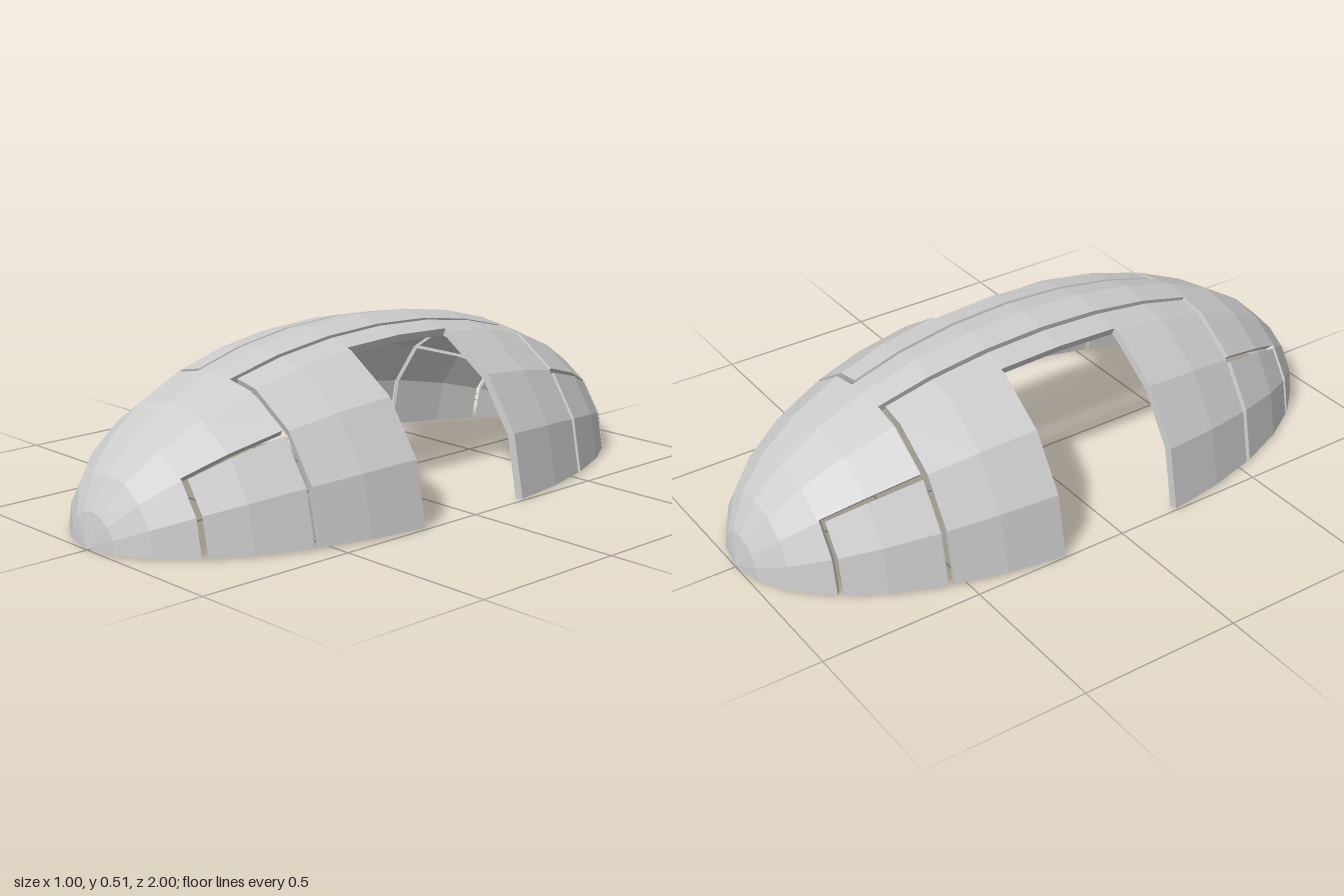
import * as THREE from 'three';

// Facet grid: u runs across the shell (-4..4, 22.5 degrees each), v runs front pole to back pole (0..16)
const R = 0.51, LIFT = 0.005, THICK = 0.025;

// A corner of the facet grid, on the outer skin or pushed inwards along the normal
function gridPoint(i, j, inner) {
  const a = i * Math.PI / 8, b = j * Math.PI / 16;
  const p = new THREE.Vector3(R * Math.sin(a) * Math.sin(b), R * Math.cos(a) * Math.sin(b) + LIFT, Math.cos(b));
  if (!inner) return p;
  const an = THREE.MathUtils.clamp(i, -3.5, 3.5) * Math.PI / 8; // rim follows its outermost facet
  const n = new THREE.Vector3(Math.sin(an) * Math.sin(b) / R, Math.cos(an) * Math.sin(b) / R, Math.cos(b)).normalize();
  return p.addScaledVector(n, -THICK);
}

// Any point on the faceted skin
function skinPoint(u, v, inner) {
  const i = Math.min(Math.floor(u), 3), j = Math.min(Math.floor(v), 15);
  const row = k => gridPoint(i, k, inner).lerp(gridPoint(i + 1, k, inner), u - i);
  return row(j).lerp(row(j + 1), v - j);
}

// Cut lines, mirrored about both middle planes
const halfU = [0, 0.44, 0.52, 0.92, 1, 1.95, 2, 2.05, 3, 4];
const halfV = [0, 1, 2, 3, 3.02, 3.13, 4, 5, 5.02, 5.11, 6, 6.96, 7, 8];
const cutsU = [...halfU.slice(1).reverse().map(u => -u), ...halfU];
const cutsV = [...halfV, ...halfV.slice(0, -1).reverse().map(v => 16 - v)];

// Which panel a cell belongs to; null is a gap or opening
function panelAt(u, v) {
  const s = Math.abs(u), w = Math.min(v, 16 - v);
  const side = u > 0 ? 'left' : 'right', end = v < 8 ? 'Front' : 'Back';
  if (w > 5.02) {
    if (s < 0.44) return 'centreBody';
    if (s < 0.52 || w < 5.11) return null;
    return w < 6.96 || s < 0.92 ? side + 'SidePanel' : null;
  }
  if (s < 1.95 || w < 3.02) return 'centreBody';
  return s < 2.05 || w < 3.13 ? null : side + end + 'CornerPanel';
}

function cellPanel(i, j) {
  if (i < 0 || j < 0 || i >= cutsU.length - 1 || j >= cutsV.length - 1) return null;
  return panelAt((cutsU[i] + cutsU[i + 1]) / 2, (cutsV[j] + cutsV[j + 1]) / 2);
}

function addTriangle(out, a, b, c) {
  const area = b.clone().sub(a).cross(c.clone().sub(a)).length();
  if (area > 1e-9) for (const p of [a, b, c]) out.push(p.x, p.y, p.z);
}

function addQuad(out, a, b, c, d) {
  addTriangle(out, a, b, c);
  addTriangle(out, a, c, d);
}

export function createModel() {
  const group = new THREE.Group();
  group.name = 'splitShell';
  const material = new THREE.MeshStandardMaterial({ color: 0xcccccc, flatShading: true });
  const panels = {};

  for (let i = 0; i < cutsU.length - 1; i++) {
    for (let j = 0; j < cutsV.length - 1; j++) {
      const name = cellPanel(i, j);
      if (!name) continue;
      const out = (panels[name] ??= []);
      const corners = [[i, j], [i + 1, j], [i + 1, j + 1], [i, j + 1]];
      const [o, n] = [false, true].map(inner => corners.map(([a, b]) => skinPoint(cutsU[a], cutsV[b], inner)));
      addQuad(out, ...o);
      addQuad(out, n[3], n[2], n[1], n[0]);
      // Edge walls wherever the neighbouring cell is not in the same panel
      [[0, -1], [1, 0], [0, 1], [-1, 0]].forEach(([di, dj], k) => {
        if (cellPanel(i + di, j + dj) === name) return;
        const m = (k + 1) % 4;
        addQuad(out, o[m], o[k], n[k], n[m]);
      });
    }
  }

  for (const [name, positions] of Object.entries(panels)) {
    const geometry = new THREE.BufferGeometry();
    geometry.setAttribute('position', new THREE.Float32BufferAttribute(positions, 3));
    geometry.computeVertexNormals();
    const mesh = new THREE.Mesh(geometry, material);
    mesh.name = name;
    group.add(mesh);
  }
  return group;
}
